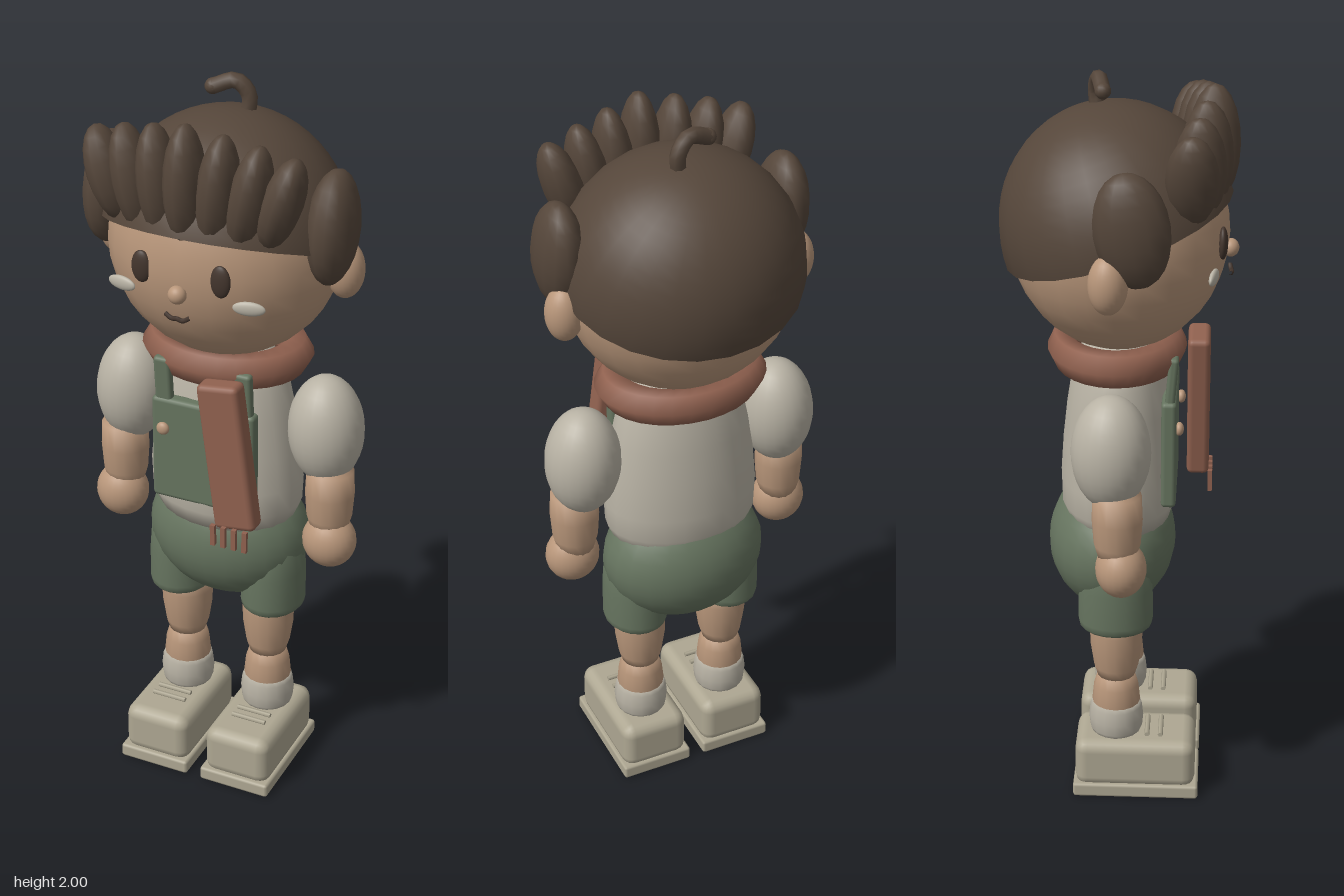
import * as THREE from 'three';
import { RoundedBoxGeometry } from 'three/addons/geometries/RoundedBoxGeometry.js';

const mat = (name, color, side = THREE.FrontSide) => {
  const m = new THREE.MeshStandardMaterial({ color, side });
  m.name = name;
  return m;
};

export function createModel() {
  const root = new THREE.Group();
  root.name = 'scarfBoy';

  const skin = mat('skin', 0xb8967a);
  const hair = mat('hair', 0x55463a, THREE.DoubleSide);
  const dark = mat('darkFeatures', 0x43352d);
  const cream = mat('shirtCream', 0xb8b2a4);
  const green = mat('overallGreen', 0x66745f);
  const red = mat('scarfRed', 0x90614f);
  const shoe = mat('shoeCream', 0xaea792);

  const add = (name, geo, material, pos = [0, 0, 0], rot = [0, 0, 0], scale = [1, 1, 1]) => {
    const mesh = new THREE.Mesh(geo, material);
    mesh.name = name;
    mesh.position.set(...pos);
    mesh.rotation.set(...rot);
    mesh.scale.set(...scale);
    root.add(mesh);
    return mesh;
  };
  const ball = new THREE.SphereGeometry(1, 24, 18);
  const lockBall = new THREE.SphereGeometry(1, 12, 10);
  const lathe = (pts, seg = 24) =>
    new THREE.LatheGeometry(pts.map(([r, y]) => new THREE.Vector2(r, y)), seg);
  const tube = (pts, r, seg = 10, sides = 8) => new THREE.TubeGeometry(
    new THREE.CatmullRomCurve3(pts.map(p => new THREE.Vector3(...p))), seg, r, sides);

  // Head and hair cap with a rim that rises toward the face
  add('head', ball, skin, [0, 1.58, 0], [0, 0, 0], [0.31, 0.31, 0.285]);
  add('hairCap', new THREE.SphereGeometry(1, 24, 14, 0, Math.PI * 2, 0, Math.PI / 2), hair,
    [0, 1.587, 0], [-0.33, 0, 0], [0.325, 0.328, 0.308]);

  // Fringe: x, y, z, half height, outward tilt
  const fringe = [
    [0, 1.81, 0.24, 0.155, 0],
    [0.08, 1.797, 0.223, 0.15, 0.1],
    [0.157, 1.787, 0.207, 0.142, 0.2],
    [0.235, 1.782, 0.19, 0.125, 0.3],
  ];
  for (const s of [-1, 1]) {
    for (const [x, y, z, h, tilt] of fringe) {
      if (x === 0 && s < 0) continue;
      add('fringeLock', lockBall, hair, [s * x, y, z], [0, 0, -s * tilt], [0.051, h, 0.067]);
    }
  }

  // Curl on the crown
  const curl = [[0.028, 1.88, -0.055], [0.032, 1.94, -0.06], [0.0, 1.976, -0.052], [-0.058, 1.957, -0.038]];
  add('crownCurl', tube(curl, 0.021), hair);
  add('crownCurlTip', lockBall, hair, curl[3], [0, 0, 0], [0.021, 0.021, 0.021]);

  // Face centre
  add('nose', ball, skin, [0, 1.535, 0.287], [0, 0, 0], [0.024, 0.024, 0.022]);
  add('mouth', tube([[-0.034, 1.478, 0.286], [-0.015, 1.47, 0.29], [0, 1.472, 0.291],
    [0.015, 1.468, 0.29], [0.034, 1.478, 0.286]], 0.006, 12, 6), dark);

  // Scarf ring
  const ring = new THREE.TorusGeometry(0.185, 0.049, 6, 28);
  ring.rotateX(Math.PI / 2);
  add('scarfRing', ring, red, [0, 1.265, -0.005], [0, 0, 0], [1, 1, 0.785]);

  // Torso and hips
  add('shirt', lathe([[0, 0.78], [0.19, 0.78], [0.212, 0.83], [0.215, 0.9], [0.206, 1.0],
    [0.191, 1.1], [0.172, 1.19], [0.145, 1.25], [0.1, 1.3], [0, 1.31]]), cream,
    [0, 0, 0], [0, 0, 0], [1, 1, 0.725]);
  add('shortsSeat', ball, green, [0, 0.703, -0.018], [0, 0, 0], [0.228, 0.19, 0.172]);

  // Overall bib
  add('bib', new RoundedBoxGeometry(0.295, 0.3, 0.04, 2, 0.012), green, [0, 1.005, 0.136]);

  // Hanging scarf end with tassels
  const tail = new THREE.Group();
  tail.name = 'scarfTail';
  tail.position.set(0.105, 1.065, 0.21);
  tail.rotation.z = 0.13;
  root.add(tail);
  const strip = new THREE.Mesh(new RoundedBoxGeometry(0.116, 0.415, 0.06, 2, 0.015), red);
  strip.name = 'scarfStrip';
  tail.add(strip);
  for (let i = 0; i < 4; i++) {
    const t = new THREE.Mesh(new THREE.BoxGeometry(0.013, 0.06, 0.012), red);
    t.name = 'scarfTassel';
    t.position.set(-0.06 + i * 0.03, -0.222 - i * 0.004, 0.034);
    t.rotation.z = -0.13;
    tail.add(t);
  }

  // Shared profiles for the limbs
  const forearm = lathe([[0, 0.78], [0.05, 0.79], [0.061, 0.83], [0.066, 0.9], [0.063, 0.97], [0, 1.0]], 16);
  const shortsLeg = lathe([[0.066, 0.525], [0.07, 0.505], [0.082, 0.5], [0.089, 0.508], [0.092, 0.525],
    [0.091, 0.62], [0.085, 0.7], [0.06, 0.74], [0, 0.75]], 20);
  const thigh = lathe([[0, 0.335], [0.052, 0.342], [0.061, 0.37], [0.07, 0.43], [0.072, 0.48],
    [0.07, 0.54], [0, 0.56]], 16);
  const calf = lathe([[0, 0.18], [0.06, 0.2], [0.066, 0.26], [0.061, 0.31], [0.049, 0.35], [0, 0.36]], 16);
  const sock = lathe([[0, 0.15], [0.066, 0.165], [0.072, 0.178], [0.075, 0.21], [0.071, 0.245],
    [0.064, 0.262], [0, 0.264]], 16);
  const lace = new THREE.CylinderGeometry(0.007, 0.007, 0.1, 6);
  lace.rotateZ(Math.PI / 2);

  for (const s of [-1, 1]) {
    const side = s > 0 ? 'left' : 'right';

    // Side of the head
    add(side + 'SideLock', new THREE.SphereGeometry(1, 14, 12), hair,
      [s * 0.31, 1.678, 0.046], [-0.15, 0, 0], [0.063, 0.148, 0.097]);
    add(side + 'Ear', ball, skin, [s * 0.322, 1.543, -0.012], [0, 0, 0], [0.05, 0.077, 0.05]);
    add(side + 'Eye', ball, dark, [s * 0.108, 1.583, 0.267], [0, 0, 0], [0.027, 0.043, 0.013]);
    add(side + 'Cheek', ball, cream, [s * 0.175, 1.515, 0.246], [0, s * 0.2, 0], [0.042, 0.019, 0.01]);

    // Arm
    add(side + 'Sleeve', ball, cream, [s * 0.283, 1.078, -0.007], [0, 0, s * 0.04], [0.101, 0.153, 0.103]);
    add(side + 'Forearm', forearm, skin, [s * 0.305, 0, 0.01]);
    add(side + 'Hand', ball, skin, [s * 0.311, 0.76, 0.02], [0, 0, 0], [0.074, 0.077, 0.067]);

    // Strap and button
    add(side + 'Strap', new RoundedBoxGeometry(0.048, 0.15, 0.026, 2, 0.01), green,
      [s * 0.115, 1.2, 0.142], [0.08, 0, 0]);
    add(side + 'Button', ball, skin, [s * 0.11, 1.07, 0.163], [0, 0, 0], [0.018, 0.018, 0.012]);

    // Leg
    add(side + 'ShortsLeg', shortsLeg, green, [s * 0.139, 0, -0.003], [0, 0, 0], [0.96, 1, 1.1]);
    add(side + 'Thigh', thigh, skin, [s * 0.125, 0, -0.002]);
    add(side + 'Calf', calf, skin, [s * 0.125, 0, -0.002]);
    add(side + 'Sock', sock, cream, [s * 0.125, 0, -0.002]);

    // Shoe
    add(side + 'Sole', new RoundedBoxGeometry(0.207, 0.04, 0.345, 1, 0.008), shoe, [s * 0.124, 0.02, 0.055]);
    add(side + 'ShoeUpper', new RoundedBoxGeometry(0.194, 0.145, 0.33, 2, 0.034), shoe, [s * 0.124, 0.096, 0.053]);
    for (const z of [0.085, 0.122]) add(side + 'Lace', lace, shoe, [s * 0.124, 0.173, z]);
  }
  return root;
}
